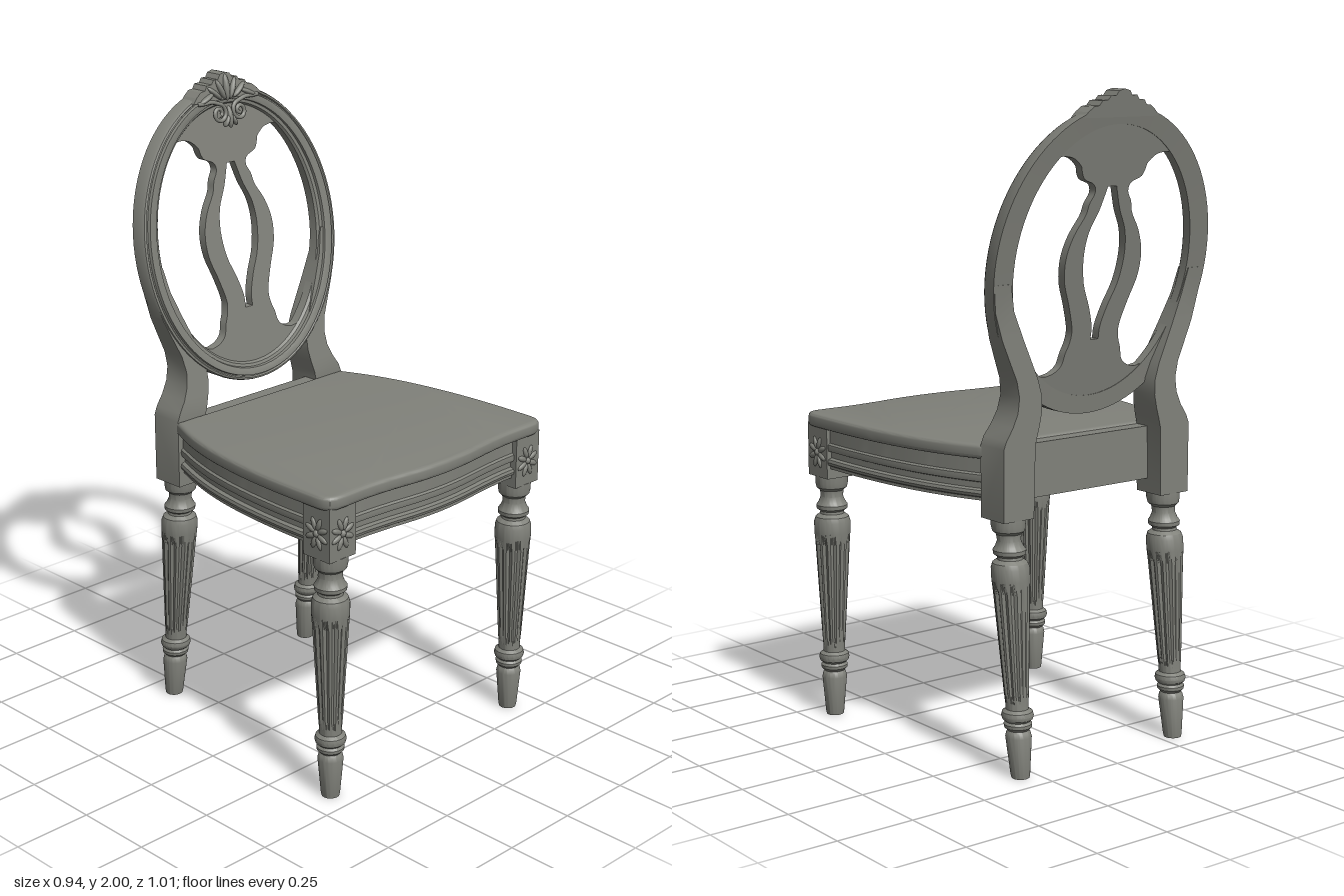
import * as THREE from 'three';
import { toCreasedNormals } from 'three/addons/utils/BufferGeometryUtils.js';

const V2 = (x, y) => new THREE.Vector2(x, y);
const V3 = (x, y, z) => new THREE.Vector3(x, y, z);

// Skin a list of closed cross-sections; open lofts get fan caps.
function loft(rings, closed = false, crease = 0.6) {
  const n = rings[0].length, m = rings.length, index = [];
  const pts = rings.flat();
  for (let i = 0; i < (closed ? m : m - 1); i++) {
    for (let j = 0; j < n; j++) {
      const k = (j + 1) % n, p = i * n, q = ((i + 1) % m) * n;
      index.push(p + j, p + k, q + k, p + j, q + k, q + j);
    }
  }
  if (!closed) {
    const e = (m - 1) * n;
    for (let j = 1; j < n - 1; j++) index.push(0, j + 1, j, e, e + j, e + j + 1);
  }
  // Turn the faces outward if the solid came out inverted.
  let volume = 0;
  for (let i = 0; i < index.length; i += 3) {
    volume += pts[index[i]].dot(V3(0, 0, 0).crossVectors(pts[index[i + 1]], pts[index[i + 2]]));
  }
  if (volume < 0) index.reverse();
  const geo = new THREE.BufferGeometry().setFromPoints(pts);
  geo.setIndex(index);
  return toCreasedNormals(geo, crease);
}

// The back is modelled upright and then sheared backward.
const SLOPE = 0.17;
const frontZ = (y) => -0.29 - SLOPE * (y - 1.045);
const LEAN = new THREE.Matrix4().set(1, 0, 0, 0, 0, 1, 0, 0, 0, -SLOPE, 1, frontZ(0), 0, 0, 0, 1);

// Turned leg with flutes on the tapering shaft.
function legGeometry(height, kick) {
  const profile = [
    [0, 0], [0.027, 0], [0.029, 0.01], [0.039, 0.125], [0.036, 0.138], [0.031, 0.145], [0.041, 0.155],
    [0.042, 0.165], [0.036, 0.172], [0.045, 0.18], [0.048, 0.19], [0.045, 0.202], [0.034, 0.21],
    [0.034, 0.225], [0.037, 0.26], [0.045, 0.4], [0.054, 0.56], [0.057, 0.6], [0.057, 0.635], [0.052, 0.65],
    [0.038, 0.66], [0.037, 0.668], [0.048, 0.676], [0.049, 0.688], [0.042, 0.698], [0.035, 0.715],
    [0.037, 0.735], [0.048, 0.745], [0.051, 0.76], [0.051, 0.785], [0, 0.785],
  ];
  const geo = new THREE.LatheGeometry(profile.map((p) => V2(...p)), 72);
  const pos = geo.attributes.position;
  for (let i = 0; i < pos.count; i++) {
    const x = pos.getX(i), y = pos.getY(i), z = pos.getZ(i);
    const flute = y > 0.24 && y < 0.58 ? Math.max(0, Math.cos(12 * Math.atan2(z, x))) : 0;
    const s = 1 - 0.13 * flute;
    pos.setXYZ(i, x * s, y * height / 0.785, z * s - kick * (1 - y / 0.785));
  }
  return toCreasedNormals(geo, 0.55);
}

// Moulded apron rail swept along a plan curve of [x, z] points.
function apronGeometry(path) {
  const section = [
    [-0.04, 0.815], [-0.04, 0.95], [-0.004, 0.95], [-0.004, 0.897], [0.003, 0.892], [0.004, 0.882],
    [0.002, 0.872], [-0.009, 0.868], [-0.009, 0.85], [0.003, 0.846], [0.006, 0.837], [0.003, 0.828],
    [-0.004, 0.824], [-0.004, 0.815],
  ];
  const curve = new THREE.SplineCurve(path.map((p) => V2(...p)));
  const rings = [];
  for (let i = 0; i <= 24; i++) {
    const p = curve.getPoint(i / 24), t = curve.getTangent(i / 24);
    rings.push(section.map(([o, y]) => V3(p.x + t.y * o, y, p.y - t.x * o)));
  }
  return loft(rings, false, 0.5);
}

export function createModel() {
  const chair = new THREE.Group();
  chair.name = 'chair';
  const wood = new THREE.MeshStandardMaterial({ color: 0x80817a });
  wood.name = 'greyPaintedWood';
  const add = (name, geo, x = 0, y = 0, z = 0, parent = chair) => {
    const mesh = new THREE.Mesh(geo, wood);
    mesh.name = name;
    mesh.position.set(x, y, z);
    parent.add(mesh);
    return mesh;
  };
  const box = (name, x0, x1, y0, y1, z0, z1) =>
    add(name, new THREE.BoxGeometry(x1 - x0, y1 - y0, z1 - z0), (x0 + x1) / 2, (y0 + y1) / 2, (z0 + z1) / 2);

  // Seat: bowed sides, serpentine front, rounded edge
  const half = [
    ...new THREE.SplineCurve([[0.355, -0.3], [0.4, -0.19], [0.435, -0.06], [0.458, 0.09], [0.469, 0.25], [0.47, 0.43]]
      .map((p) => V2(...p))).getPoints(24),
    V2(0.466, 0.452), V2(0.455, 0.468), V2(0.432, 0.477),
    ...new THREE.SplineCurve([[0.4, 0.478], [0.3, 0.477], [0.2, 0.485], [0.1, 0.498], [0, 0.503]]
      .map((p) => V2(...p))).getPoints(16),
  ];
  const outline = [...half, ...half.slice(0, -1).reverse().map((p) => V2(-p.x, p.y))];
  const seat = new THREE.ExtrudeGeometry(new THREE.Shape(outline.map((p) => V2(p.x, -p.y))), {
    depth: 0.02, bevelThickness: 0.012, bevelSize: 0.014, bevelOffset: -0.014, bevelSegments: 4,
  });
  add('seat', toCreasedNormals(seat.rotateX(-Math.PI / 2), 0.5), 0, 0.953, 0);

  // Aprons
  add('frontApron', apronGeometry([[-0.37, 0.456], [-0.3, 0.457], [-0.2, 0.465], [-0.1, 0.477], [0, 0.482],
    [0.1, 0.477], [0.2, 0.465], [0.3, 0.457], [0.37, 0.456]].reverse()));
  const sidePath = [[0.335, -0.31], [0.38, -0.19], [0.415, -0.06], [0.438, 0.09], [0.449, 0.25], [0.45, 0.38]];
  add('leftApron', apronGeometry([...sidePath]));
  add('rightApron', apronGeometry(sidePath.map(([x, z]) => [-x, z]).reverse()));
  box('backRail', -0.26, 0.26, 0.815, 0.978, -0.345, -0.293);

  const frontLeg = legGeometry(0.785, 0), backLeg = legGeometry(0.775, 0.06);
  const petal = new THREE.SphereGeometry(1, 10, 8);

  // Carved rosette made of flattened petals
  function rosette(x, y, z, turn) {
    const g = new THREE.Group();
    g.name = 'rosette';
    g.position.set(x, y, z);
    g.rotation.y = turn;
    chair.add(g);
    for (let i = 0; i < 8; i++) {
      const a = (i + 0.5) * Math.PI / 4;
      const p = add('petal', petal, Math.cos(a) * 0.026, Math.sin(a) * 0.031, 0, g);
      p.scale.set(0.021, 0.009, 0.007);
      p.rotation.z = a;
    }
    add('rosetteCentre', petal, 0, 0, 0, g).scale.set(0.011, 0.011, 0.01);
  }

  for (const s of [1, -1]) {
    // Front corner blocks and legs
    box('frontBlock', s * 0.405 - 0.053, s * 0.405 + 0.053, 0.783, 0.95, 0.362, 0.469);
    rosette(s * 0.405, 0.862, 0.469, 0);
    rosette(s * 0.458, 0.862, 0.416, s * Math.PI / 2);
    add('frontLeg', frontLeg, s * 0.405, 0, 0.42);
    add('backLeg', backLeg, s * 0.3, 0, -0.352);

    // Diagonal braces under the seat
    for (const [x, z, turn] of [[0.345, 0.36, 1], [0.27, -0.25, -1]]) {
      add('cornerBrace', new THREE.BoxGeometry(0.2, 0.07, 0.035), s * x, 0.885, z).rotation.y = s * turn * Math.PI / 4;
    }

    // Back post: inner x, outer x and rear z by height, flowing into the oval
    const rows = [
      [0.77, 0.245, 0.355], [0.985, 0.24, 0.355], [1.01, 0.234, 0.345], [1.045, 0.224, 0.322], [1.085, 0.216, 0.304],
      [1.13, 0.217, 0.298], [1.18, 0.232, 0.308], [1.23, 0.254, 0.33], [1.3, 0.285, 0.36], [1.38, 0.318, 0.384], [1.46, 0.336, 0.396],
    ];
    add('backPost', loft(rows.map(([y, a, b]) => {
      const zf = y < 1.045 ? -0.295 : frontZ(y) - 0.01;
      const zr = Math.min(-0.405, frontZ(y) - 0.055);
      return [V3(s * a, y, zf), V3(s * b, y, zf), V3(s * b, y, zr), V3(s * a, y, zr)];
    })));
  }

  // Oval back frame: moulded section [across, depth] swept round an ellipse
  const section = [
    [0, -0.052], [0, -0.022], [0.1, -0.014], [0.26, -0.012], [0.29, -0.003], [0.42, 0], [0.68, 0],
    [0.72, -0.009], [0.78, -0.009], [0.84, -0.004], [0.94, -0.006], [1, -0.014], [1, -0.055],
  ];
  const rings = [];
  for (let i = 0; i < 96; i++) {
    const a = i * Math.PI / 48;
    rings.push(section.map(([u, d]) => V3(Math.cos(a) * (0.33 + 0.07 * u), 1.5 + Math.sin(a) * (0.4 + 0.055 * u), d)));
  }
  add('ovalFrame', loft(rings, true, 0.5).applyMatrix4(LEAN));

  // Lyre splat: oval panel with two side openings and a teardrop
  const splat = new THREE.Shape().absellipse(0, 1.5, 0.36, 0.425, 0, Math.PI * 2);
  const lyreEdge = new THREE.SplineCurve([
    [0.19, 1.815], [0.155, 1.808], [0.125, 1.785], [0.118, 1.765], [0.105, 1.745], [0.07, 1.73], [0.062, 1.705],
    [0.078, 1.675], [0.088, 1.64], [0.122, 1.585], [0.142, 1.52], [0.138, 1.45], [0.112, 1.38], [0.09, 1.31],
    [0.092, 1.27], [0.105, 1.235], [0.115, 1.2], [0.14, 1.18], [0.17, 1.172],
  ].map((p) => V2(...p))).getPoints(60);
  const sideHole = [...lyreEdge];
  for (let i = 0; i <= 24; i++) {
    const a = -0.93 + i * 1.82 / 24;
    sideHole.push(V2(Math.cos(a) * 0.334, 1.5 + Math.sin(a) * 0.403));
  }
  const tear = new THREE.SplineCurve([[0.015, 1.27], [0.016, 1.31], [0.035, 1.37], [0.065, 1.44], [0.077, 1.52],
    [0.068, 1.59], [0.04, 1.65], [0.026, 1.69], [0.016, 1.722]].map((p) => V2(...p))).getPoints(32);
  const mirror = (pts) => pts.map((p) => V2(-p.x, p.y)).reverse();
  for (const hole of [sideHole, mirror(sideHole), [...tear, ...mirror(tear)]]) splat.holes.push(new THREE.Path(hole));
  const splatGeo = new THREE.ExtrudeGeometry(splat, { depth: 0.028, bevelEnabled: false, curveSegments: 48 });
  add('lyreSplat', toCreasedNormals(splatGeo.translate(0, 0, -0.05), 0.5).applyMatrix4(LEAN));

  // Crest: scalloped block through the frame
  const lobes = [[0.14, 1.92], [0.125, 1.937], [0.105, 1.952], [0.088, 1.954], [0.078, 1.968], [0.058, 1.969],
    [0.048, 1.982], [0.03, 1.981], [0.02, 1.995], [0, 2]].map((p) => V2(...p));
  const crest = new THREE.ExtrudeGeometry(new THREE.Shape([...lobes, ...mirror(lobes).slice(1)]), { depth: 0.058, bevelEnabled: false });
  add('crestBlock', crest.translate(0, 0, -0.055).applyMatrix4(LEAN));

  // Crest carving: leaf petals [x, y, length, width, angle]
  const leaf = (x, y, l, w, a) => add('crestLeaf', new THREE.SphereGeometry(1, 12, 8).scale(l, w, 0.013)
    .rotateZ(a).translate(x, y, 0.001).applyMatrix4(LEAN));
  leaf(0, 1.955, 0.042, 0.012, Math.PI / 2);
  leaf(0, 1.865, 0.035, 0.011, Math.PI / 2);
  for (const s of [1, -1]) {
    leaf(s * 0.024, 1.95, 0.036, 0.01, Math.PI / 2 - s * 0.45);
    leaf(s * 0.05, 1.942, 0.034, 0.009, Math.PI / 2 - s * 0.9);
    leaf(s * 0.085, 1.93, 0.036, 0.008, -s * 0.4);
    leaf(s * 0.014, 1.855, 0.022, 0.008, Math.PI / 2 + s * 0.5);

    // Scroll with a stem running out along the frame
    const pts = [V3(s * 0.125, 1.918, 0.002), V3(s * 0.1, 1.917, 0.004), V3(s * 0.07, 1.918, 0.005)];
    for (let i = 0; i <= 16; i++) {
      const a = Math.PI / 2 + i * 0.6, r = 0.03 - i * 0.0015;
      pts.push(V3(s * (0.042 + Math.cos(a) * r), 1.88 + Math.sin(a) * r, 0.004));
    }
    const scroll = new THREE.TubeGeometry(new THREE.CatmullRomCurve3(pts), 72, 0.0065, 8);
    add('crestScroll', scroll.applyMatrix4(LEAN));
  }
  return chair;
}
